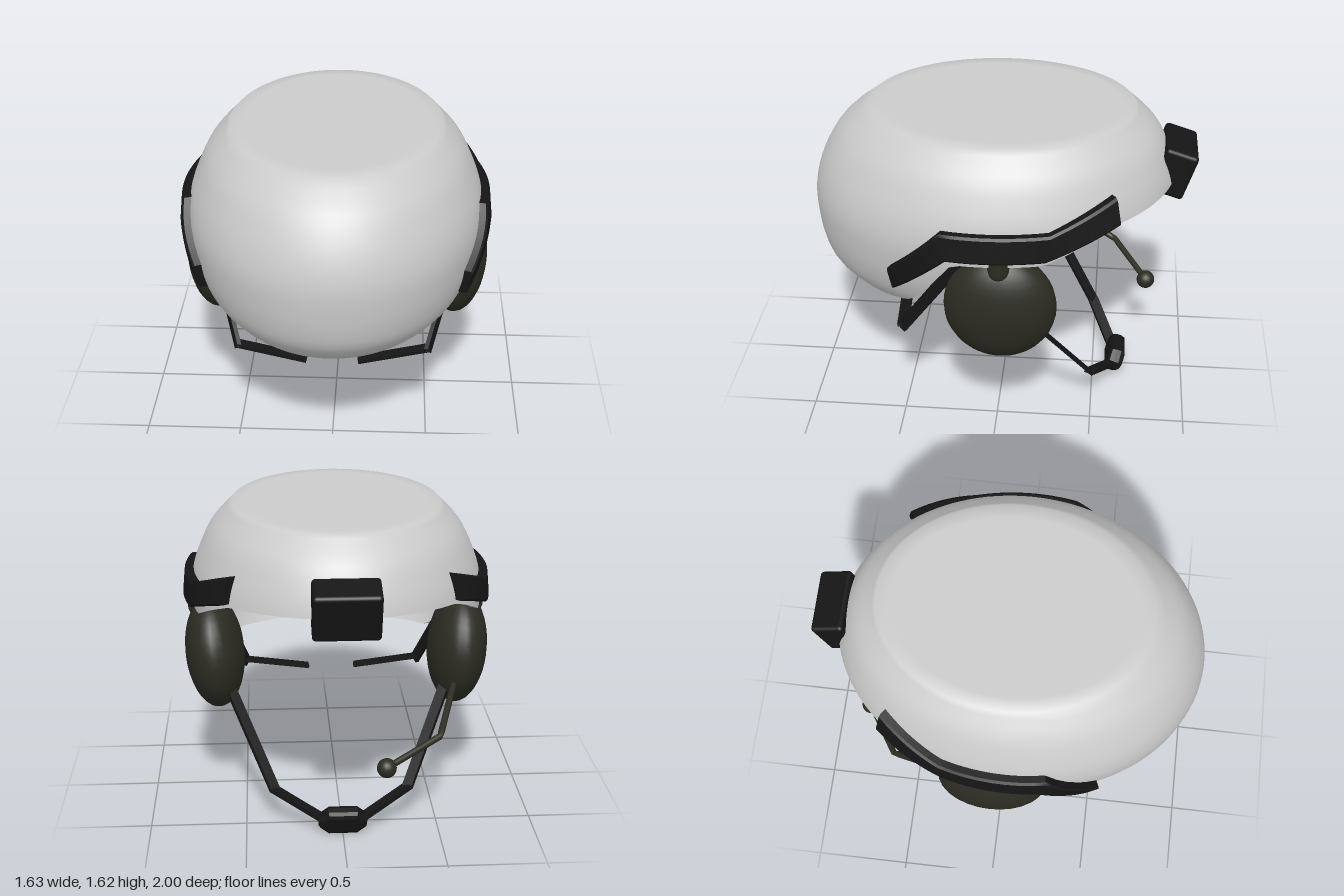
import * as THREE from 'three';
import { toCreasedNormals } from 'three/addons/utils/BufferGeometryUtils.js';
import { RoundedBoxGeometry } from 'three/addons/geometries/RoundedBoxGeometry.js';

const V = (x, y, z) => new THREE.Vector3(x, y, z);
const mat = (color) => new THREE.MeshStandardMaterial({ color });
const grey = mat(0xcccccc), black = mat(0x151515), olive = mat(0x2c2c23);
grey.side = THREE.DoubleSide;

function add(parent, name, geometry, material, pos = [0, 0, 0], rot = [0, 0, 0]) {
  const mesh = new THREE.Mesh(geometry, material);
  mesh.name = name;
  mesh.position.set(...pos);
  mesh.rotation.set(...rot);
  parent.add(mesh);
  return mesh;
}

// Piecewise linear lookup in [[x, y], ...]
function lookup(table, x) {
  if (x <= table[0][0]) return table[0][1];
  for (let i = 1; i < table.length; i++) {
    const [x0, y0] = table[i - 1], [x1, y1] = table[i];
    if (x <= x1) return y0 + (y1 - y0) * (x - x0) / (x1 - x0);
  }
  return table[table.length - 1][1];
}

// Skins closed rings; the first and last rings are collapsed to a point
function loft(rows, flip, crease) {
  const n = rows[0].length, index = [];
  const tri = (a, b, c) => (flip ? index.push(a, c, b) : index.push(a, b, c));
  for (let i = 0; i < rows.length - 1; i++) {
    for (let j = 0; j < n; j++) {
      const k = (j + 1) % n, a = i * n + j, b = i * n + k;
      const c = (i + 1) * n + j, d = (i + 1) * n + k;
      if (i < rows.length - 2) tri(a, c, d);
      if (i > 0) tri(a, d, b);
    }
  }
  const geo = new THREE.BufferGeometry().setFromPoints(rows.flat());
  geo.setIndex(index);
  return toCreasedNormals(geo, crease);
}

// Shell sections at even heights: +z reach, half width, -z reach
const Y0 = 0.69, Y1 = 1.62;
const sections = new THREE.CatmullRomCurve3([
  [0.84, 0.60, -0.70], [0.945, 0.685, -0.80], [0.983, 0.735, -0.86],
  [0.998, 0.76, -0.89], [1.0, 0.77, -0.9], [0.975, 0.755, -0.888],
  [0.925, 0.713, -0.852], [0.845, 0.652, -0.788], [0.70, 0.545, -0.67],
].map((p) => V(...p)), false, 'catmullrom');

function section(y) {
  const p = sections.getPoint(THREE.MathUtils.clamp((y - Y0) / (Y1 - Y0), 0, 1));
  return { zc: (p.x + p.z) / 2, rz: (p.x - p.z) / 2, rx: p.y };
}
function shellPoint(a, y, inset = 0) {
  const { zc, rz, rx } = section(y);
  return V((rx - inset) * Math.sin(a), y, zc + (rz - inset) * Math.cos(a));
}

// Height of the lower rim by z
const rim = [[-0.9, 1.27], [-0.6, 1.24], [-0.25, 1.09], [0.2, 1.09], [0.42, 0.79], [0.46, 0.755], [0.83, 0.695]];
function rimHeight(a) {
  let lo = Y0, hi = 1.4;
  for (let i = 0; i < 30; i++) {
    const y = (lo + hi) / 2;
    if (y > lookup(rim, shellPoint(a, y).z)) hi = y; else lo = y;
  }
  return lo;
}

// Outer skin with a softened flat crown, then the domed lining
function shellGeometry() {
  const N = 112, M = 22, ceiling = 1.61;
  const angles = Array.from({ length: N }, (_, j) => (j / N) * Math.PI * 2);
  const rims = angles.map(rimHeight);
  const rows = [angles.map(() => V(0, Y1, 0.015)), angles.map((a) => shellPoint(a, Y1, 0.07))];
  for (let i = 0; i <= M; i++) {
    rows.push(angles.map((a, j) => shellPoint(a, Y1 + (rims[j] - Y1) * i / M)));
  }
  for (let i = M; i >= 0; i--) {
    const inset = 0.045 + 0.16 * (1 - i / M) ** 5;
    rows.push(angles.map((a, j) => shellPoint(a, ceiling + (rims[j] + 0.005 - ceiling) * i / M, inset)));
  }
  rows.push(angles.map(() => V(0, ceiling, 0.015)));
  return loft(rows, false, 0.95);
}

// Side rail hugging the shell, from its upper and lower edge lines
function railGeometry(s) {
  const upper = [[0.51, 1.02], [0.25, 1.27], [-0.27, 1.27], [-0.565, 1.39]];
  const lower = [[0.49, 0.885], [0.22, 1.13], [-0.25, 1.13], [-0.59, 1.255]];
  const onShell = ([z, y], out) => {
    const { zc, rz, rx } = section(y);
    const dz = (z - zc) / rz, x = rx * Math.sqrt(1 - dz * dz);
    const n = V(x / (rx * rx), 0, dz / rz).normalize();
    return V(s * (x + n.x * out), y, z + n.z * out);
  };
  const mix = (p, q, t) => [p[0] + (q[0] - p[0]) * t, p[1] + (q[1] - p[1]) * t];
  const rows = [];
  for (let i = 0; i < 3; i++) {
    for (let k = 0; k < (i === 2 ? 9 : 8); k++) {
      const u = mix(upper[i], upper[i + 1], k / 8), l = mix(lower[i], lower[i + 1], k / 8);
      rows.push([
        onShell(u, -0.02), onShell(u, 0.035), onShell(mix(u, l, 0.08), 0.045),
        onShell(mix(u, l, 0.92), 0.045), onShell(l, 0.035), onShell(l, -0.02),
      ]);
    }
  }
  const cap = (ring) => {
    const c = V(0, 0, 0);
    ring.forEach((p) => c.addScaledVector(p, 1 / ring.length));
    return ring.map(() => c.clone());
  };
  return loft([cap(rows[0]), ...rows, cap(rows[rows.length - 1])], s > 0, 0.6);
}

// Flat webbing made of straight lengths
function strap(parent, name, points, w, h) {
  for (let i = 0; i < points.length - 1; i++) {
    const a = points[i], b = points[i + 1];
    const piece = add(parent, name, new THREE.BoxGeometry(w, h, a.distanceTo(b) + 0.015), black);
    piece.position.lerpVectors(a, b, 0.5);
    piece.lookAt(b);
  }
}

export function createModel() {
  const model = new THREE.Group();
  model.name = 'helmet';

  add(model, 'shell', shellGeometry(), grey);
  add(model, 'mountBlock', new RoundedBoxGeometry(0.33, 0.255, 0.175, 3, 0.02), black, [0, 1.315, -0.879], [-0.31, 0, 0]);

  for (const s of [1, -1]) {
    const side = new THREE.Group();
    side.name = s > 0 ? 'leftSide' : 'rightSide';
    model.add(side);
    add(side, 'rail', railGeometry(s), black);

    // Ear cup and its hanger
    const cup = new THREE.SphereGeometry(1, 28, 20).scale(0.158, 0.308, 0.285);
    add(side, 'earCup', cup, olive, [s * 0.655, 0.803, -0.03], [0, 0, -s * 0.08]);
    add(side, 'cupHanger', new THREE.CapsuleGeometry(0.055, 0.08, 6, 14), olive, [s * 0.735, 1.095, -0.03]);

    // Chin strap and nape strap
    strap(side, 'chinStrap', [V(s * 0.61, 0.72, -0.14), V(s * 0.35, 0.19, -0.49), V(s * 0.08, 0.06, -0.61)], 0.055, 0.024);
    strap(side, 'napeStrap', [V(s * 0.66, 1.04, 0.175), V(s * 0.495, 0.53, 0.5)], 0.022, 0.06);
    strap(side, 'napeStrapEnd', [V(s * 0.5, 0.545, 0.495), V(s * 0.14, 0.485, 0.53)], 0.06, 0.018);
  }

  // Chin pad: bevelled octagon
  const w = 0.1, h = 0.046, c = 0.035;
  const outline = new THREE.Shape([
    [w, -h + c], [w, h - c], [w - c, h], [c - w, h], [-w, h - c], [-w, c - h], [c - w, -h], [w - c, -h],
  ].map((p) => new THREE.Vector2(...p)));
  const pad = new THREE.ExtrudeGeometry(outline, {
    depth: 0.03, bevelEnabled: true, bevelThickness: 0.028, bevelSize: 0.026, bevelSegments: 2,
  }).translate(0, 0, -0.015);
  add(model, 'chinPad', pad, black, [0, 0.073, -0.624], [-0.35, 0, 0]);

  // Microphone boom on the right cup
  const boom = new THREE.CurvePath();
  const path = [V(-0.62, 0.69, -0.24), V(-0.5, 0.525, -0.6), V(-0.21, 0.44, -0.78)];
  for (let i = 0; i < 2; i++) boom.add(new THREE.LineCurve3(path[i], path[i + 1]));
  add(model, 'microphoneBoom', new THREE.TubeGeometry(boom, 24, 0.017, 10), olive);
  add(model, 'microphone', new THREE.SphereGeometry(0.05, 18, 14), olive, path[2].toArray());

  return model;
}
